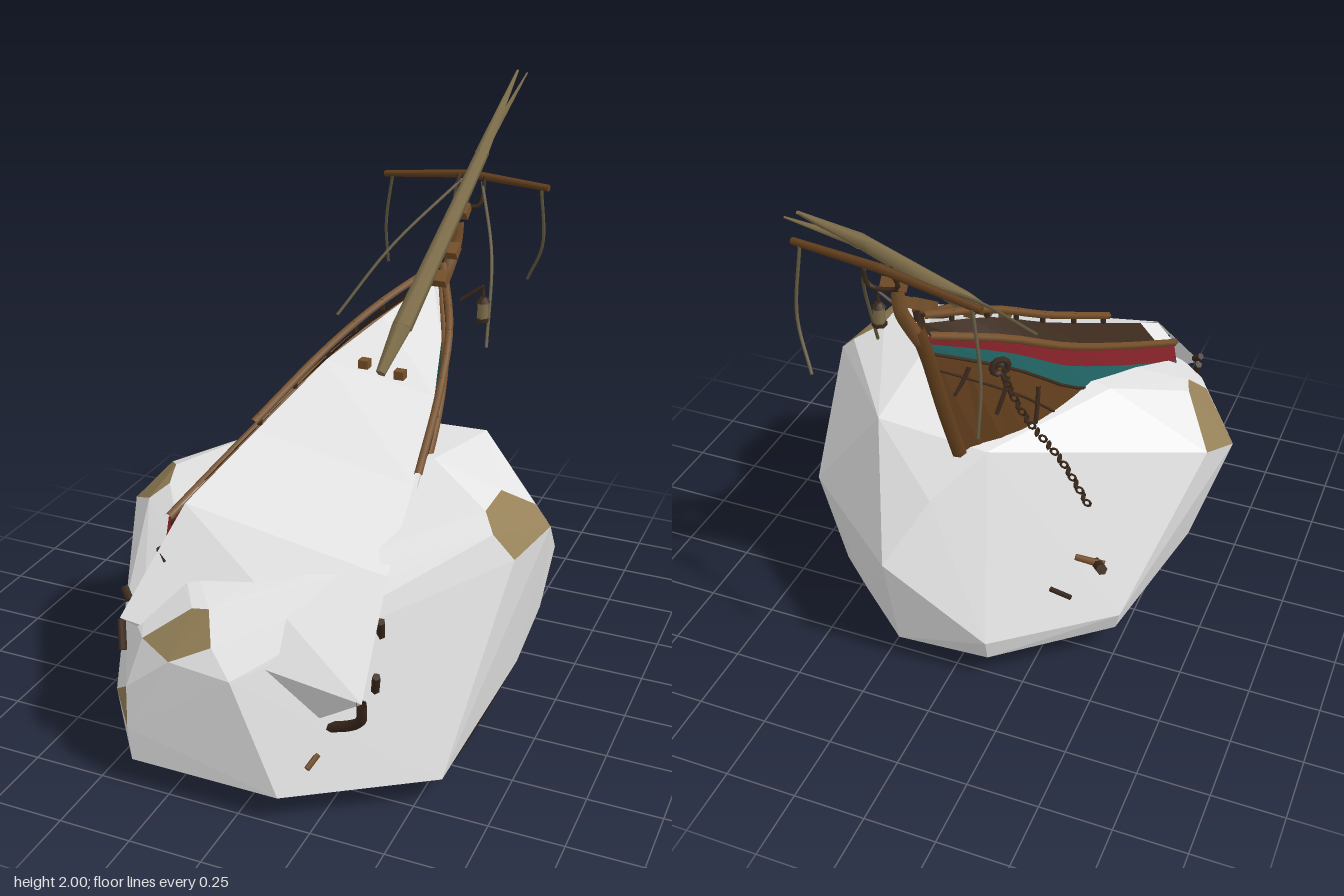
import * as THREE from 'three';
import { ConvexGeometry } from 'three/addons/geometries/ConvexGeometry.js';

const V = (p) => new THREE.Vector3(...p);
const mat = (name, color, double = false) => {
  const m = new THREE.MeshStandardMaterial({ color, side: double ? THREE.DoubleSide : THREE.FrontSide });
  m.name = name;
  return m;
};

export function createModel() {
  const root = new THREE.Group();
  root.name = 'frozenShipwreck';
  const snow = mat('snow', 0xe6e6e6, true), earth = mat('darkEarth', 0x34241b), stone = mat('tanStone', 0x968158);
  const wood = mat('hullWood', 0x633f1d, true), dark = mat('darkTimber', 0x3b291c, true), rail = mat('railWood', 0x76502a);
  const spar = mat('weatheredSpar', 0x82714c), rope = mat('rope', 0x645a3f);
  const red = mat('redPaint', 0x862229, true), teal = mat('tealPaint', 0x226566, true);

  const add = (name, geo, material) => {
    const m = new THREE.Mesh(geo, material);
    m.name = name;
    root.add(m);
    return m;
  };
  // Tapered round timber between two points
  const stick = (name, a, b, r0, r1, material, sides = 6) => {
    const p = V(a), q = V(b), d = q.clone().sub(p);
    const m = add(name, new THREE.CylinderGeometry(r1, r0, d.length(), sides), material);
    m.position.copy(p).add(q).multiplyScalar(0.5);
    m.quaternion.setFromUnitVectors(new THREE.Vector3(0, 1, 0), d.normalize());
  };
  const tube = (name, pts, r, material, sides = 6) =>
    add(name, new THREE.TubeGeometry(new THREE.CatmullRomCurve3(pts.map((p) => (p.isVector3 ? p : V(p)))), 14, r, sides), material);
  // Flat-shaded skin over rows of equally many points
  const skin = (name, rows, material, closed = false) => {
    const out = [], n = rows[0].length, tri = (...t) => t.forEach((p) => out.push(p.x, p.y, p.z));
    for (let i = 0; i + 1 < rows.length; i++) for (let j = 0; j < (closed ? n : n - 1); j++) {
      const k = (j + 1) % n, a = rows[i][j], b = rows[i][k], c = rows[i + 1][k], d = rows[i + 1][j];
      tri(a, d, c); tri(a, c, b);
    }
    if (closed) { const e = rows[rows.length - 1]; for (let j = 1; j + 1 < n; j++) tri(e[0], e[j + 1], e[j]); }
    const g = new THREE.BufferGeometry();
    g.setAttribute('position', new THREE.Float32BufferAttribute(out, 3));
    g.computeVertexNormals();
    add(name, g, material);
  };

  // Faceted snow boulder: earth underneath, stone on a few worn corners
  const patches = [
    [[-0.7, 0.71, 0.1], [-0.75, 0.64, 0.28], [-0.6, 0.74, 0.44], [-0.54, 0.79, 0.4], [-0.57, 0.81, 0.3]],
    [[0.58, 0.89, 0.2], [0.58, 0.89, 0.36], [0.63, 0.85, 0.43], [0.7, 0.77, 0.42], [0.74, 0.77, 0.16], [0.68, 0.83, 0.14]],
    [[-0.35, 0.53, 0.94], [-0.2, 0.64, 0.88], [-0.14, 0.65, 0.88], [-0.1, 0.56, 0.95], [-0.23, 0.5, 0.99]],
    [[-0.51, 0.25, 0.86], [-0.39, 0.37, 0.99], [-0.39, 0.22, 1]],
  ].map((p) => p.map(V));
  const base = [
    [-0.3, 0.03, 0.7], [0.25, 0.02, 0.73], [0.56, 0.03, 0.3], [0.1, 0, 0.2], [-0.2, 0.04, -0.15], [0.35, 0.04, -0.15],
    [-0.38, 0.1, 1], [0.14, 0.1, 1], [0.58, 0.1, 0.71], [-0.52, 0.1, 0.4], [-0.61, 0.17, 0.3], [0.63, 0.19, 0.1],
    [0.62, 0.24, -0.2], [0.38, 0.17, -0.43], [0.55, 0.12, -0.25], [0.2, 0.1, -0.55], [-0.13, 0.1, -0.53], [-0.5, 0.12, -0.24],
  ].map(V);
  const upper = [
    [-0.13, 0.18, -0.55], [-0.52, 0.2, -0.26], [0.22, 0.47, -0.61], [0.65, 0.47, -0.25], [-0.02, 0.48, 0.99],
    [-0.5, 0.55, 0.78], [0.34, 0.95, 0.18], [0.36, 0.85, -0.31], [-0.05, 0.83, -0.33], [-0.34, 0.89, 0.1], [0.1, 0.68, -0.47],
  ].map(V);
  const rock = new ConvexGeometry([...patches.flat(), ...base, ...upper]);
  const pos = rock.attributes.position;
  for (let i = 0; i < pos.count; i += 3) {
    const t = [0, 1, 2].map((k) => new THREE.Vector3().fromBufferAttribute(pos, i + k));
    const within = (set) => t.every((p) => set.some((q) => q.distanceTo(p) < 1e-4));
    const snowyRim = t.reduce((s, p) => s + p.x, 0) / 3 < -0.42 || t.reduce((s, p) => s + p.z, 0) / 3 < -0.3;
    rock.addGroup(i, 3, patches.some(within) ? 2 : within(base) && !snowyRim ? 1 : 0);
  }
  add('boulder', rock, [snow, earth, stone]);

  // Snow-covered deck, heeled over, wedge-shaped below
  const deckRows = [
    [[0.11, 1.36, -0.4], [0.13, 1.36, -0.4], [0.1, 1.0, -0.34]],
    [[0, 1.27, -0.2], [0.22, 1.22, -0.2], [0.1, 0.8, -0.1]],
    [[-0.13, 1.16, 0], [0.27, 1.09, 0], [0.1, 0.6, 0.1]],
    [[-0.25, 1.0, 0.31], [0.32, 0.91, 0.32], [0.1, 0.5, 0.4]],
    [[-0.35, 0.86, 0.63], [0.36, 0.75, 0.64], [0.15, 0.4, 0.6]],
    [[-0.46, 0.55, 0.89], [0.4, 0.48, 0.94], [0.23, 0.34, 0.87]],
  ];
  skin('snowyDeck', deckRows.map((r) => r.map(V)), snow, true);

  // Hull sides: flared bulwark down to a knee line, then painted bands narrowing to the bow
  const sides = {
    left: {
      top: [[0.13, 1.37, -0.45], [0.24, 1.23, -0.22], [0.29, 1.09, 0], [0.335, 0.92, 0.32]],
      knee: [[0.125, 1.325, -0.445], [0.23, 1.155, -0.21], [0.28, 1.0, 0], [0.325, 0.83, 0.32]],
      low: [[0.04, 0.8, -0.35], [0.15, 0.72, -0.14], [0.2, 0.65, 0.05], [0.25, 0.5, 0.34]],
    },
    right: {
      top: [[0.11, 1.37, -0.45], [-0.02, 1.28, -0.2], [-0.13, 1.17, 0], [-0.24, 1.02, 0.3], [-0.355, 0.86, 0.62]],
      knee: [[0.095, 1.325, -0.445], [-0.075, 1.21, -0.2], [-0.195, 1.09, 0], [-0.315, 0.94, 0.3], [-0.42, 0.79, 0.62]],
      low: [[0.04, 0.8, -0.35], [-0.16, 0.72, -0.16], [-0.27, 0.65, 0.02], [-0.39, 0.55, 0.3], [-0.48, 0.45, 0.62]],
    },
  };
  for (const [side, curves] of Object.entries(sides)) {
    const [T, K, B] = [curves.top, curves.knee, curves.low].map((c) => new THREE.CatmullRomCurve3(c.map(V)));
    const at = (t, d) => {
      const p = K.getPoint(t), q = B.getPoint(t).sub(p);
      return p.addScaledVector(q, Math.min(d * Math.min(1, 0.45 + 1.1 * t) / q.length(), 1));
    };
    const ts = Array.from({ length: 13 }, (_, i) => i / 12);
    const bulwark = ts.map((t) => [T.getPoint(t), K.getPoint(t)]);
    skin(side + 'Bulwark', bulwark.slice(0, 12), dark);
    skin(side + 'BulwarkDrift', bulwark.slice(11), snow);
    [['RedBand', 0, 0.08, red], ['TealBand', 0.08, 0.17, teal], ['Planking', 0.17, 2, wood]]
      .forEach(([n, a, b, m]) => skin(side + n, ts.map((t) => [at(t, a), at(t, b)]), m));
    const handEnd = side === 'right' ? 0.77 : 1;
    tube(side + 'HandRail', ts.map((t) => T.getPoint(t * handEnd).add(new THREE.Vector3(0, 0.03, 0))), 0.014, rail);
    [['RubbingRail', 0, 0.015, rail], ['LowerMoulding', 0.17, 0.006, dark], ['PlankSeam', 0.32, 0.005, dark]]
      .forEach(([n, d, r, m]) => tube(side + n, ts.map((t) => at(t, d)), r, m));
    for (const t of [0.1, 0.22, 0.34]) tube(side + 'HullRib', [at(t, 0.22), at(t - 0.03, 0.35), at(t - 0.07, 0.52)], 0.009, dark);
    for (let i = 0; i < 6; i++) {
      const p = T.getPoint(0.1 + i * 0.13).toArray();
      stick(side + 'RailPost', p, [p[0], p[1] + 0.04, p[2]], 0.01, 0.01, dark, 4);
    }
  }

  // Stem post and its brackets
  tube('stemPost', [[0.04, 0.82, -0.35], [0.072, 1.02, -0.395], [0.105, 1.26, -0.445], [0.125, 1.36, -0.47]], 0.027, wood);
  tube('stemHead', [[0.115, 1.3, -0.455], [0.135, 1.38, -0.495], [0.145, 1.46, -0.535], [0.15, 1.54, -0.54]], 0.024, rail);
  for (const [y, z] of [[1.45, -0.47], [1.57, -0.57], [1.38, -0.36]]) {
    const b = add('sparBracket', new THREE.BoxGeometry(0.07, 0.035, 0.05), rail);
    b.position.set(0.145, y, z);
    b.rotation.x = 0.6;
  }

  // Bowsprit with pointed heel, splintered tip and cross yard
  stick('bowspritHeel', [0.082, 1.15, 0.02], [0.1, 1.27, -0.13], 0.018, 0.036, spar, 5);
  stick('bowsprit', [0.1, 1.27, -0.13], [0.19, 1.765, -0.68], 0.036, 0.024, spar, 6);
  stick('bowspritTip', [0.188, 1.755, -0.67], [0.215, 2.0, -0.98], 0.026, 0.005, spar, 5);
  stick('tipSplinter', [0.195, 1.8, -0.74], [0.245, 1.99, -1.0], 0.014, 0.003, spar, 4);
  stick('yard', [-0.2, 1.635, -0.71], [0.14, 1.68, -0.67], 0.012, 0.015, wood);
  stick('yard', [0.14, 1.68, -0.67], [0.46, 1.675, -0.61], 0.015, 0.012, wood);
  tube('yardLashing', [[0.11, 1.68, -0.66], [0.11, 1.59, -0.62], [0.2, 1.58, -0.62], [0.21, 1.68, -0.65]], 0.008, dark);

  // Hanging ropes
  [
    [[-0.17, 1.64, -0.71], [-0.215, 1.43, -0.76], [-0.225, 1.26, -0.81]],
    [[0.43, 1.67, -0.62], [0.43, 1.45, -0.67], [0.36, 1.29, -0.73]],
    [[0.12, 1.66, -0.66], [-0.05, 1.46, -0.4], [-0.175, 1.25, -0.2]],
    [[0.2, 1.66, -0.65], [0.31, 1.45, -0.45], [0.35, 1.17, -0.3]],
  ].forEach((p) => tube('rope', p, 0.006, rope, 5));

  // Lantern on a short arm
  stick('lanternArm', [0.24, 1.32, -0.33], [0.32, 1.38, -0.34], 0.008, 0.007, dark);
  [[1.345, 0.01, 0.003, 0.07], [1.33, 0.026, 0.012, 0.02], [1.29, 0.02, 0.02, 0.06], [1.258, 0.026, 0.026, 0.012]].forEach(([y, r0, r1, h], i) => {
    add('lantern', new THREE.CylinderGeometry(r1, r0, h, 6), i === 2 ? spar : dark).position.set(0.32, y, -0.34);
  });

  // Anchor chain from the hawse ring, and the anchor on the slope below it
  const chain = new THREE.CatmullRomCurve3([[-0.08, 1.14, -0.28], [-0.16, 0.96, -0.26], [-0.28, 0.79, -0.23], [-0.37, 0.62, -0.21]].map(V));
  for (let i = 0; i <= 20; i++) {
    const link = add('chainLink', new THREE.TorusGeometry(0.013, 0.005, 4, 8), dark);
    link.position.copy(chain.getPoint(i / 20));
    link.rotation.set(0, (i % 2) * Math.PI / 2, 0.6);
  }
  const hawse = add('hawseRing', new THREE.TorusGeometry(0.028, 0.012, 5, 10), dark);
  hawse.position.set(-0.08, 1.15, -0.28);
  hawse.rotation.y = 0.7;
  stick('anchorShank', [-0.36, 0.44, -0.29], [-0.46, 0.42, -0.27], 0.011, 0.014, rail);
  stick('anchorArm', [-0.47, 0.45, -0.33], [-0.41, 0.39, -0.23], 0.02, 0.018, dark);
  stick('anchorStock', [-0.38, 0.34, -0.385], [-0.3, 0.34, -0.37], 0.009, 0.009, dark);

  // Broken ribs along the buried hull, and loose fragments
  tube('brokenRib', [[0.4, 0.48, 0.94], [0.385, 0.4, 0.91], [0.33, 0.34, 0.87], [0.25, 0.3, 0.85]], 0.017, dark);
  [
    [[0.38, 0.65, 0.74], [0.36, 0.56, 0.69]], [[0.39, 0.49, 0.8], [0.37, 0.41, 0.76]],
    [[-0.46, 0.54, 0.88], [-0.43, 0.46, 0.93]], [[-0.48, 0.62, 0.82], [-0.45, 0.59, 0.84]],
    [[-0.4, 0.73, 0.72], [-0.36, 0.7, 0.75]], [[-0.39, 0.79, 0.64], [-0.33, 0.77, 0.68]], [[-0.33, 0.88, 0.48], [-0.27, 0.87, 0.52]],
  ].forEach(([a, b]) => stick('brokenRib', a, b, 0.014, 0.014, dark, 5));
  stick('woodFragment', [0.22, 0.2, 0.95], [0.235, 0.225, 0.9], 0.01, 0.01, rail, 4);
  for (const [x, y] of [[0.015, 1.17], [0.145, 1.15]])
    add('deckBitt', new THREE.BoxGeometry(0.035, 0.03, 0.035), rail).position.set(x, y, 0);

  return root;
}
